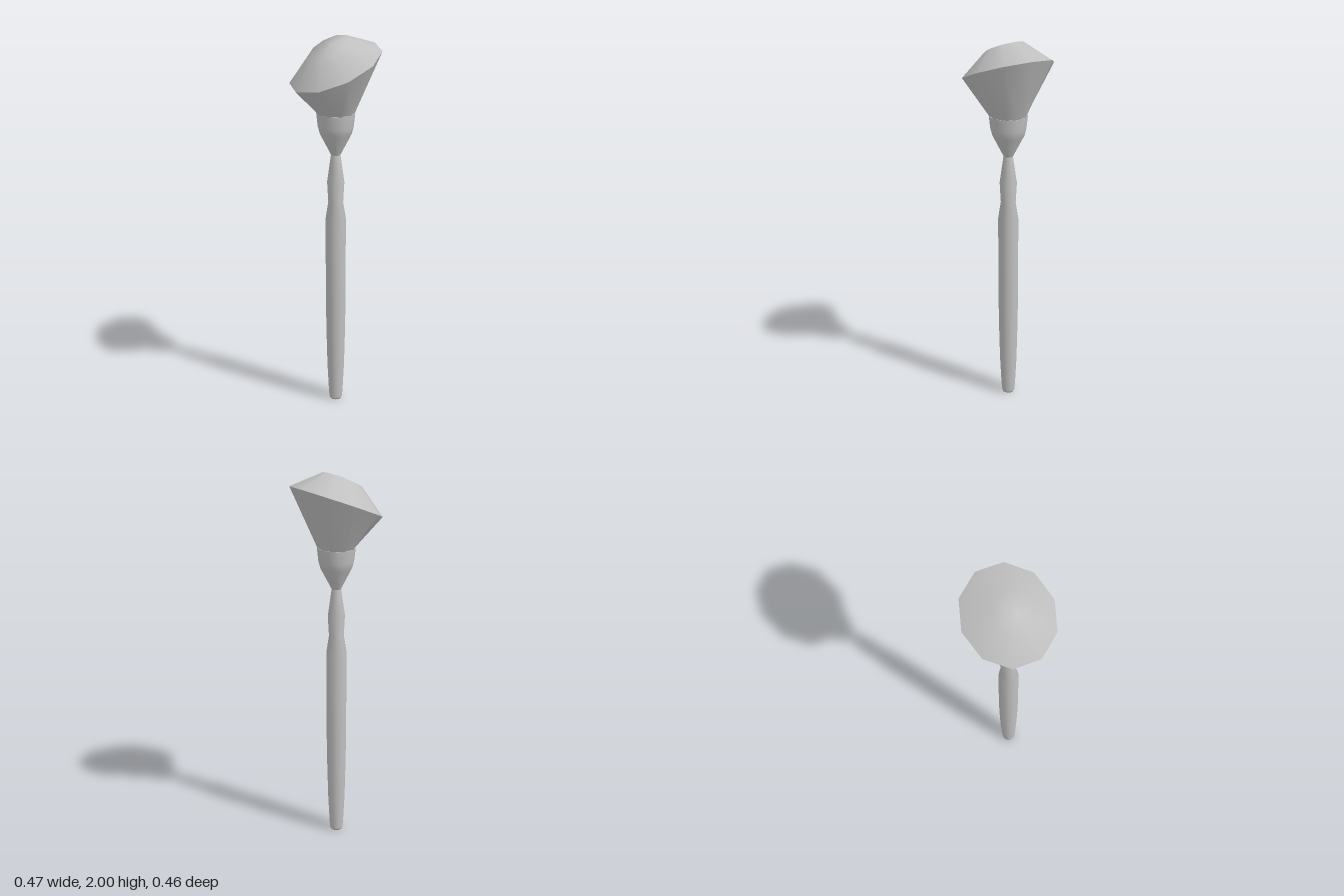
import * as THREE from 'three';

const SIDES = 10;

// Ten-sided ring lying in the slanted plane y = cy + sx*x + sz*z about its centre
function ring(cx, cy, cz, r, sx = 0, sz = 0) {
  const pts = [];
  for (let i = 0; i < SIDES; i++) {
    const a = THREE.MathUtils.degToRad(7 + i * 36);
    const dx = r * Math.cos(a), dz = r * Math.sin(a);
    pts.push([cx + dx, cy + sx * dx + sz * dz, cz + dz]);
  }
  return pts;
}

// Smooth skin through rings from bottom to top
function loft(rings) {
  const index = [];
  for (let k = 0; k < rings.length - 1; k++) {
    for (let i = 0; i < SIDES; i++) {
      const j = (i + 1) % SIDES;
      const a = k * SIDES + i, b = k * SIDES + j;
      index.push(a, a + SIDES, b + SIDES, a, b + SIDES, b);
    }
  }
  const g = new THREE.BufferGeometry();
  g.setAttribute('position', new THREE.Float32BufferAttribute(rings.flat(2), 3));
  g.setIndex(index);
  g.computeVertexNormals();
  return g;
}

export function createModel() {
  const group = new THREE.Group();
  const grey = new THREE.MeshStandardMaterial({ color: 0xc0c0c0 });
  grey.name = 'plain grey';

  const add = (name, geometry) => {
    const mesh = new THREE.Mesh(geometry, grey);
    mesh.name = name;
    group.add(mesh);
  };
  const lathe = (profile, sides) =>
    new THREE.LatheGeometry(profile.map(([r, y]) => new THREE.Vector2(r, y)), sides);

  // Long tapering handle with a narrow waist near the top
  add('handle', lathe([
    [0.034, 0.008], [0.037, 0.04], [0.045, 0.2], [0.05, 0.4], [0.053, 0.6],
    [0.053, 1.04], [0.039, 1.13], [0.045, 1.24], [0.024, 1.39],
  ], 12));
  add('handleEnd', lathe([[0, 0], [0.03, 0], [0.034, 0.008]], 12));

  // Flared cup holding the bristles
  add('ferrule', lathe([[0.024, 1.385], [0.083, 1.5], [0.093, 1.54], [0.1, 1.61]], 12));
  add('ferruleLip', lathe([[0.1, 1.61], [0, 1.61]], 12));

  // Bristles flare to a slanted rim, then close in a slanted dome
  const rim = ring(0, 1.845, 0, 0.236, 0.2, -0.38);
  add('bristleFlare', loft([ring(0, 1.605, 0, 0.096), rim]));
  add('bristleDome', loft([
    rim,
    ring(-0.02, 1.952, 0.035, 0.1, 0.22, -0.46),
    ring(-0.02, 1.963, 0.04, 0.0005, 0.2, -0.38),
  ]));

  return group;
}
